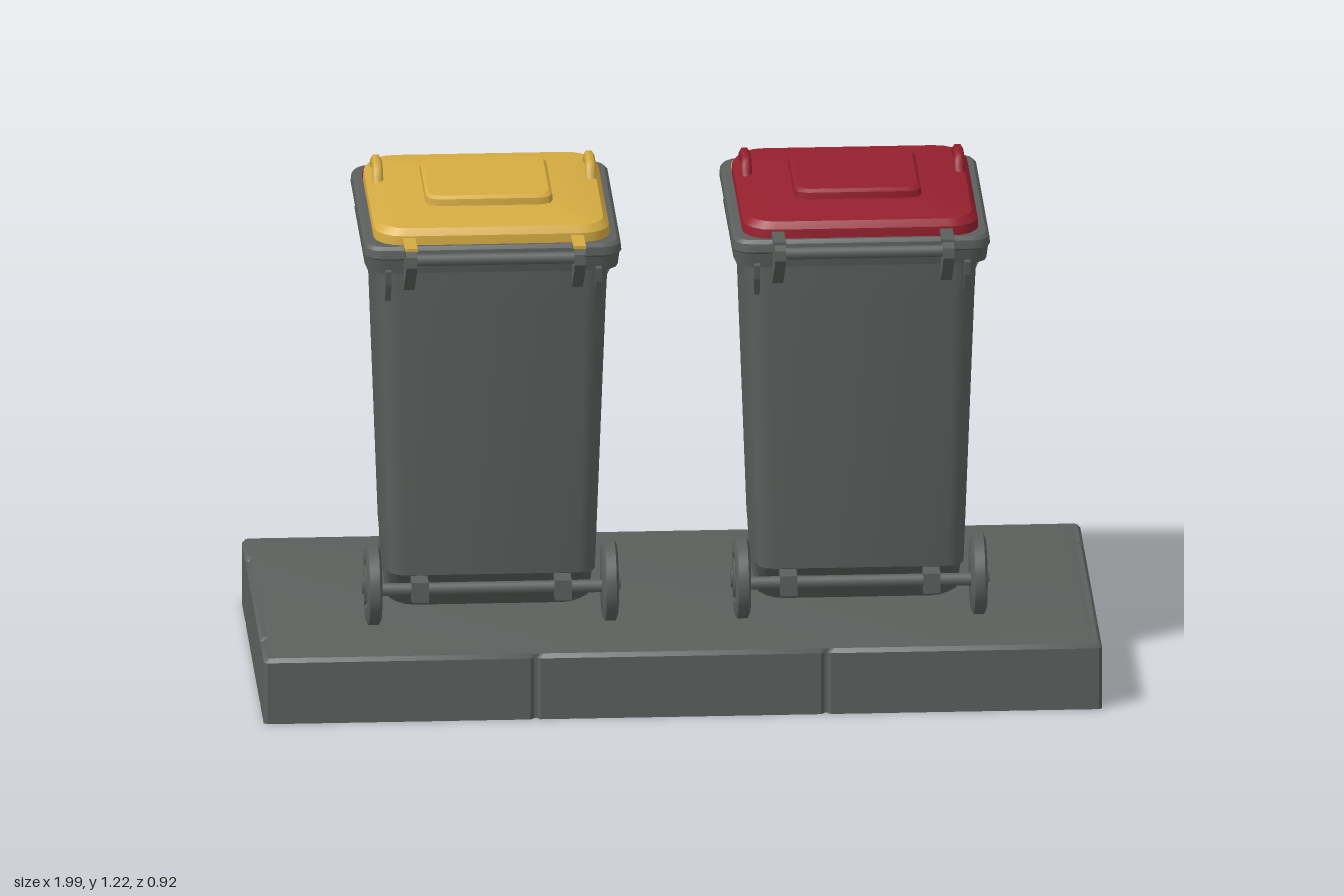
import * as THREE from 'three';
import { toCreasedNormals } from 'three/addons/utils/BufferGeometryUtils.js';

const material = (name, color) => {
  const m = new THREE.MeshStandardMaterial({ color });
  m.name = name;
  return m;
};

// Closed loft through rounded rectangles, each ring: [y, halfWidth, zBack, zFront, cornerRadius]
function loft(rings, cx = 0, steps = 3) {
  const pos = [], idx = [], n = 4 * (steps + 1);
  for (const [y, hx, z0, z1, r] of rings) {
    for (let c = 0; c < 4; c++) {
      const sx = c === 0 || c === 3 ? 1 : -1, front = c < 2;
      for (let s = 0; s <= steps; s++) {
        const a = (c + s / steps) * Math.PI / 2;
        pos.push(cx + sx * (hx - r) + r * Math.cos(a), y, (front ? z1 - r : z0 + r) + r * Math.sin(a));
      }
    }
  }
  for (let k = 0; k < rings.length - 1; k++) {
    for (let i = 0; i < n; i++) {
      const a = k * n + i, b = k * n + (i + 1) % n;
      idx.push(a, a + n, b, a + n, b + n, b);
    }
  }
  const top = (rings.length - 1) * n;
  for (let i = 1; i < n - 1; i++) {
    idx.push(0, i, i + 1, top, top + i + 1, top + i);
  }
  const g = new THREE.BufferGeometry();
  g.setAttribute('position', new THREE.Float32BufferAttribute(pos, 3));
  g.setIndex(idx);
  return toCreasedNormals(g, 0.6);
}

// Upright plate from (z, y) outline points, centred on x = 0
function plate(points, width) {
  const shape = new THREE.Shape(points.map(([z, y]) => new THREE.Vector2(z, y)));
  return new THREE.ExtrudeGeometry(shape, { depth: width, bevelEnabled: false })
    .translate(0, 0, -width / 2).rotateY(-Math.PI / 2);
}

function add(group, name, geometry, mat, x = 0, y = 0, z = 0) {
  const mesh = new THREE.Mesh(geometry, mat);
  mesh.name = name;
  mesh.position.set(x, y, z);
  group.add(mesh);
  return mesh;
}

function makeBin(grey, lidMat, edgeMat, hingeMat) {
  const bin = new THREE.Group();

  // Tapered body with the wheel recess cut under its front
  add(bin, 'body', loft([
    [0.176, 0.222, -0.215, 0.11, 0.05],
    [0.19, 0.24, -0.232, 0.125, 0.05],
    [0.275, 0.244, -0.236, 0.19, 0.045],
    [0.3, 0.246, -0.237, 0.262, 0.04],
    [0.97, 0.27, -0.264, 0.296, 0.05],
    [1.1, 0.276, -0.27, 0.302, 0.05],
  ]), grey);

  // Overhanging rim
  add(bin, 'rim', loft([
    [1.08, 0.27, -0.27, 0.29, 0.05],
    [1.07, 0.298, -0.312, 0.305, 0.045],
    [1.105, 0.302, -0.316, 0.312, 0.045],
    [1.11, 0.306, -0.32, 0.318, 0.045],
    [1.13, 0.304, -0.318, 0.316, 0.045],
    [1.138, 0.296, -0.31, 0.308, 0.04],
  ]), grey);

  // Ribs below the rim on all four sides
  const rib = plate([[-0.03, 1.08], [0.03, 1.08], [0.024, 1.045], [0.004, 1], [-0.03, 1]], 0.014);
  for (const side of [-1, 1]) {
    for (const z of [0.14, 0.075, -0.055, -0.17]) {
      add(bin, 'sideRib', rib, grey, side * 0.273, 0, z).rotation.y = side * Math.PI / 2;
    }
    add(bin, 'sideBracket', new THREE.BoxGeometry(0.03, 0.016, 0.07), grey, side * 0.277, 1.06, 0.107);
    for (const x of [0.08, 0.2]) {
      add(bin, 'backRib', rib, grey, side * x, 0, -0.268).rotation.y = Math.PI;
    }
    add(bin, 'frontRib', rib, grey, side * 0.25, 0, 0.296);
  }

  // Lid with rounded shoulders and a raised centre panel
  add(bin, 'lid', loft([
    [1.132, 0.281, -0.28, 0.3, 0.07],
    [1.16, 0.279, -0.279, 0.298, 0.07],
    [1.176, 0.266, -0.266, 0.285, 0.065],
    [1.188, 0.19, -0.18, 0.2, 0.05],
  ], 0, 4), lidMat);
  add(bin, 'lidPanel', loft([
    [1.18, 0.152, -0.147, 0.16, 0.03],
    [1.204, 0.15, -0.145, 0.158, 0.03],
    [1.211, 0.142, -0.137, 0.15, 0.028],
  ], 0, 2), lidMat);
  add(bin, 'lidBackEdge', loft([
    [1.134, 0.282, -0.287, -0.15, 0.066],
    [1.155, 0.281, -0.284, -0.15, 0.066],
  ], 0, 4), edgeMat);

  // Lid grips, one on either side
  const arch = new THREE.CatmullRomCurve3([[1.165, -0.06], [1.2, -0.085], [1.2, -0.165], [1.155, -0.19]]
    .map(([y, z]) => new THREE.Vector3(0, y, z)));
  const grip = new THREE.TubeGeometry(arch, 10, 0.013, 6);
  for (const side of [-1, 1]) add(bin, 'lidGrip', grip, lidMat, side * 0.253);

  // Push handle: two arms and a bar
  const arm = plate([[0.29, 1.02], [0.31, 1.035], [0.395, 1.095], [0.418, 1.12],
    [0.416, 1.145], [0.4, 1.154], [0.29, 1.146]], 0.026);
  const hinge = plate([[0.285, 1.147], [0.4, 1.155], [0.4, 1.162], [0.285, 1.155]], 0.03);
  for (const side of [-1, 1]) {
    add(bin, 'handleArm', arm, grey, side * 0.2);
    add(bin, 'lidHinge', hinge, hingeMat, side * 0.2);
  }
  add(bin, 'handleBar', new THREE.CylinderGeometry(0.015, 0.015, 0.4, 8).rotateZ(Math.PI / 2), grey, 0, 1.13, 0.388);

  // Axle, brackets and wheels
  const disc = (r, w, n) => new THREE.CylinderGeometry(r, r, w, n).rotateZ(Math.PI / 2);
  add(bin, 'axle', disc(0.016, 0.54, 8), grey, 0, 0.25, 0.215);
  for (const side of [-1, 1]) {
    add(bin, 'axleBracket', new THREE.BoxGeometry(0.04, 0.05, 0.08), grey, side * 0.17, 0.25, 0.205);
    const wheel = new THREE.Group();
    wheel.name = 'wheel';
    const tyre = new THREE.LatheGeometry([[0, -0.018], [0.085, -0.018], [0.097, -0.012], [0.097, 0.012],
      [0.085, 0.018], [0.06, 0.018], [0.055, 0.012], [0, 0.012]]
      .map(([r, h]) => new THREE.Vector2(r, h)), 28).rotateZ(-side * Math.PI / 2);
    add(wheel, 'tyre', toCreasedNormals(tyre, 0.5), grey);
    add(wheel, 'hub', disc(0.048, 0.02, 6), grey, side * 0.011);
    add(wheel, 'hubCap', disc(0.022, 0.02, 6), grey, side * 0.016);
    wheel.position.set(side * 0.281, 0.264, 0.215);
    bin.add(wheel);
  }
  return bin;
}

export function createModel() {
  const grey = material('dark grey', 0x5c605d);
  const yellow = material('yellow', 0xd6ac42);
  const red = material('red', 0x96202e);
  const model = new THREE.Group();

  // Paved base: a core slab edged by kerb stones with narrow joints
  const base = new THREE.Group();
  base.name = 'base';
  add(base, 'slab', loft([[0, 0.985, -0.446, 0.446, 0.01], [0.16, 0.985, -0.446, 0.446, 0.01],
    [0.166, 0.96, -0.42, 0.42, 0.01]], 0, 1), grey);
  const stone = (x0, x1, z0, z1) => {
    const h = (x1 - x0) / 2 - 0.004;
    add(base, 'kerbStone', loft([[0, h, z0, z1, 0.008], [0.152, h, z0, z1, 0.008],
      [0.162, h - 0.008, z0 + 0.008, z1 - 0.008, 0.006]], (x0 + x1) / 2, 1), grey);
  };
  for (const [x0, x1] of [[-1, -0.35], [-0.35, 0.34], [0.34, 1]]) stone(x0, x1, 0.3, 0.458);
  for (const [x0, x1] of [[-1, -0.4], [-0.4, 0.34], [0.34, 1]]) stone(x0, x1, -0.458, -0.304);
  stone(-1, -0.84, -0.296, 0.302);
  stone(0.84, 1, -0.296, 0.302);
  model.add(base);

  // Two bins side by side
  const yellowBin = makeBin(grey, yellow, red, yellow);
  yellowBin.name = 'yellowLidBin';
  yellowBin.position.x = -0.442;
  const redBin = makeBin(grey, red, yellow, grey);
  redBin.name = 'redLidBin';
  redBin.position.x = 0.434;
  model.add(yellowBin, redBin);
  return model;
}
